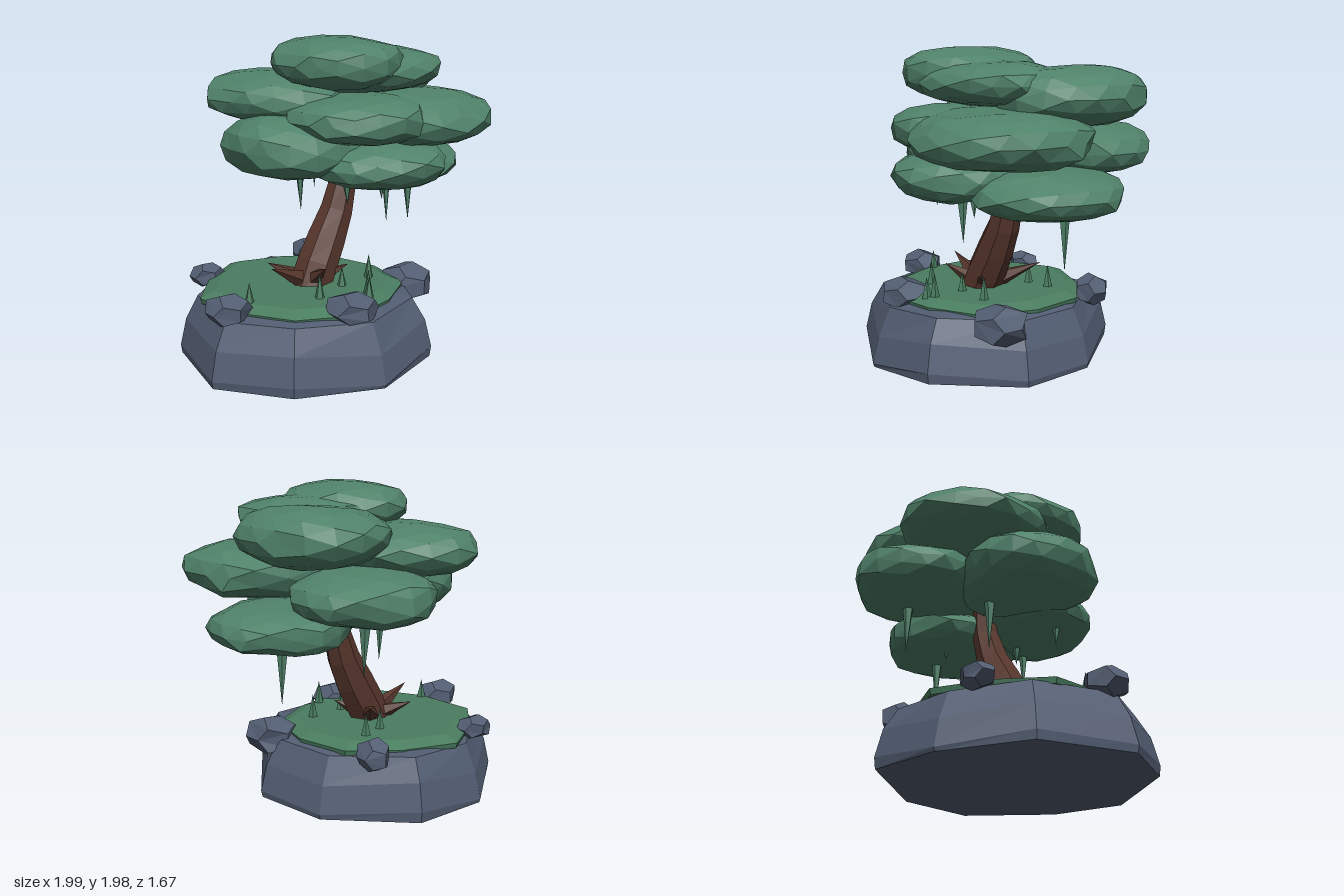
import * as THREE from 'three';

const paint = (name, color) => {
  const m = new THREE.MeshStandardMaterial({ color, flatShading: true });
  m.name = name;
  return m;
};

// Closed solid through horizontal rings of [x, y, z] points, counterclockwise from above
function loft(rings) {
  const pos = [], n = rings[0].length;
  const tri = (...p) => p.forEach((v) => pos.push(...v));
  const middle = (ring) => [0, 1, 2].map((k) => ring.reduce((s, p) => s + p[k], 0) / n);
  const last = rings[rings.length - 1], low = middle(rings[0]), high = middle(last);
  for (let i = 0; i < n; i++) {
    const j = (i + 1) % n;
    for (let r = 0; r < rings.length - 1; r++) {
      const a = rings[r], b = rings[r + 1];
      tri(a[i], a[j], b[j]);
      tri(a[i], b[j], b[i]);
    }
    tri(low, rings[0][j], rings[0][i]);
    tri(high, last[i], last[j]);
  }
  const g = new THREE.BufferGeometry();
  g.setAttribute('position', new THREE.Float32BufferAttribute(pos, 3));
  g.computeVertexNormals();
  return g;
}

// Moves vertices in or out by a smooth bumpy rule, blunts the rim, then stretches and places the lump
function lump(g, [x, y, z, rx, ry, rz], seed, amount, blunt) {
  const p = g.attributes.position, v = new THREE.Vector3();
  for (let i = 0; i < p.count; i++) {
    v.fromBufferAttribute(p, i).normalize();
    const bump = Math.sin(4.3 * v.x + seed * 2.1) + Math.sin(5.1 * v.z + seed * 1.3) * Math.cos(3.7 * v.y + seed)
      + 0.7 * Math.sin(9 * (v.x + v.y - v.z) + seed * 3.7);
    v.y = Math.sign(v.y) * Math.abs(v.y) ** blunt;
    v.multiplyScalar(1 + amount * bump);
    p.setXYZ(i, x + v.x * rx, y + v.y * ry, z + v.z * rz);
  }
  g.computeVertexNormals();
  return g;
}

// Pointed cone running from a base point to a tip
function spike(base, tip, radius, sides) {
  const a = new THREE.Vector3(...base), dir = new THREE.Vector3(...tip).sub(a), h = dir.length();
  const g = new THREE.ConeGeometry(radius, h, sides);
  g.translate(0, h / 2, 0);
  g.applyQuaternion(new THREE.Quaternion().setFromUnitVectors(new THREE.Vector3(0, 1, 0), dir.normalize()));
  return g.translate(a.x, a.y, a.z);
}

export function createModel() {
  const model = new THREE.Group();
  const stone = paint('slate stone', 0x535e73);
  const leaf = paint('leaf green', 0x50826a);
  const grass = paint('grass green', 0x4a7d60);
  const bark = paint('brown bark', 0x57362c);
  const add = (name, geometry, material, parent = model) => {
    const m = new THREE.Mesh(geometry, material);
    m.name = name;
    parent.add(m);
  };
  const group = (name) => {
    const g = new THREE.Group();
    g.name = name;
    model.add(g);
    return g;
  };

  // Faceted rock island
  const outline = [[-1, 0.23], [-0.73, 0.65], [-0.2, 0.83], [0.3, 0.7], [0.62, 0.2], [0.52, -0.3], [0.1, -0.75], [-0.44, -0.69], [-0.86, -0.34]];
  const islandRing = (scale, y, wobble) => outline.map(([x, z], i) =>
    [-0.19 + (x + 0.19) * scale, y + wobble * Math.sin(i * 2.4), 0.02 + (z - 0.02) * scale]);
  add('rockIsland', loft([
    islandRing(0.99, 0.015, 0.015), islandRing(1, 0.06, 0.04), islandRing(0.95, 0.23, 0.04),
    islandRing(0.85, 0.385, 0.015), islandRing(0.7, 0.41, 0)]), stone);

  // Grass cap
  const grassRing = (r, y) => Array.from({ length: 11 }, (_, i) => {
    const a = i / 11 * Math.PI * 2, s = r * (1 + 0.05 * Math.sin(i * 2.7));
    return [-0.19 + s * Math.cos(a), y, 0.02 - s * Math.sin(a)];
  });
  add('grassCap', loft([grassRing(0.62, 0.38), grassRing(0.63, 0.415), grassRing(0.54, 0.45)]), grass);

  // Boulders around the rim: centre and half sizes
  const boulders = group('boulders');
  [[-0.84, 0.44, 0.17, 0.15, 0.1, 0.14], [-0.25, 0.43, 0.58, 0.16, 0.1, 0.16], [0.46, 0.375, 0.3, 0.18, 0.13, 0.19],
    [0.27, 0.42, -0.5, 0.1, 0.11, 0.12], [-0.55, 0.43, -0.5, 0.12, 0.08, 0.1]]
    .forEach((b, i) => add('boulder', lump(new THREE.DodecahedronGeometry(1), b, i + 1, 0.05, 1), stone, boulders));

  // Leaning trunk: centre x, y, centre z, radius, tilt of the ring
  add('trunk', loft([[-0.16, 0.42, 0.075, 0.14, 0], [-0.09, 0.56, 0.07, 0.125, 0.4], [-0.01, 0.7, 0.06, 0.115, 0.5],
    [0.08, 0.87, 0.05, 0.1, 0.4], [0.145, 1.07, 0.04, 0.085, 0.2], [0.18, 1.45, 0.03, 0.06, 0]]
    .map(([x, y, z, r, tilt]) => Array.from({ length: 7 }, (_, i) => {
      const a = i / 7 * Math.PI * 2;
      return [x + r * Math.cos(a), y - tilt * r * Math.cos(a), z - r * Math.sin(a)];
    }))), bark);

  // Pointed roots
  const roots = group('roots');
  [[-0.48, 0.6, 0.1], [-0.22, 0.6, 0.31], [0.05, 0.55, 0.2], [0.08, 0.6, -0.23], [-0.33, 0.55, -0.14]]
    .forEach((tip) => add('root', spike([-0.15, 0.44, 0.07], tip, 0.08, 5), bark, roots));

  // Grass blades: x, z, tip height
  const blades = group('grassBlades');
  [[-0.68, 0.16, 0.57], [-0.31, 0.36, 0.6], [-0.03, 0.48, 0.6], [-0.06, 0.52, 0.57], [-0.06, 0.27, 0.57],
    [0.18, 0.25, 0.6], [0.13, -0.25, 0.59], [-0.02, -0.2, 0.58]]
    .forEach(([x, z, top]) => add('blade', spike([x, 0.43, z], [x, top, z], 0.034, 5), grass, blades));

  // Flattened leaf clumps, top to bottom: centre and half sizes
  const canopy = group('canopy');
  [[-0.04, 1.82, 0.2, 0.41, 0.155, 0.43], [0.2, 1.77, 0.2, 0.45, 0.14, 0.42], [0.45, 1.7, -0.16, 0.45, 0.18, 0.48],
    [-0.15, 1.59, -0.24, 0.47, 0.16, 0.5], [0.45, 1.47, 0.29, 0.52, 0.18, 0.52], [0, 1.5, 0.32, 0.43, 0.15, 0.43],
    [0.26, 1.36, -0.4, 0.45, 0.17, 0.44], [-0.25, 1.34, 0.07, 0.45, 0.2, 0.43], [0.12, 1.23, 0.39, 0.42, 0.15, 0.4],
    [0.56, 1.15, 0.03, 0.44, 0.15, 0.45]]
    .forEach((c, i) => add('leafClump', lump(new THREE.IcosahedronGeometry(1, 2), c, i + 1, 0.035, 0.8), leaf, canopy));

  // Hanging vines: x, z, start height, tip height
  const vines = group('hangingVines');
  [[-0.14, 0.4, 1.2, 1], [-0.1, -0.1, 1.22, 0.86], [0.2, 0.33, 1.15, 0.97], [0.3, -0.46, 1.25, 0.89],
    [0.3, 0.46, 1.18, 0.85], [0.4, -0.1, 1.15, 0.97], [0.6, -0.05, 1.08, 0.68]]
    .forEach(([x, z, top, tip]) => add('vine', spike([x, top, z], [x + 0.01, tip, z], 0.04, 5), leaf, vines));

  return model;
}
